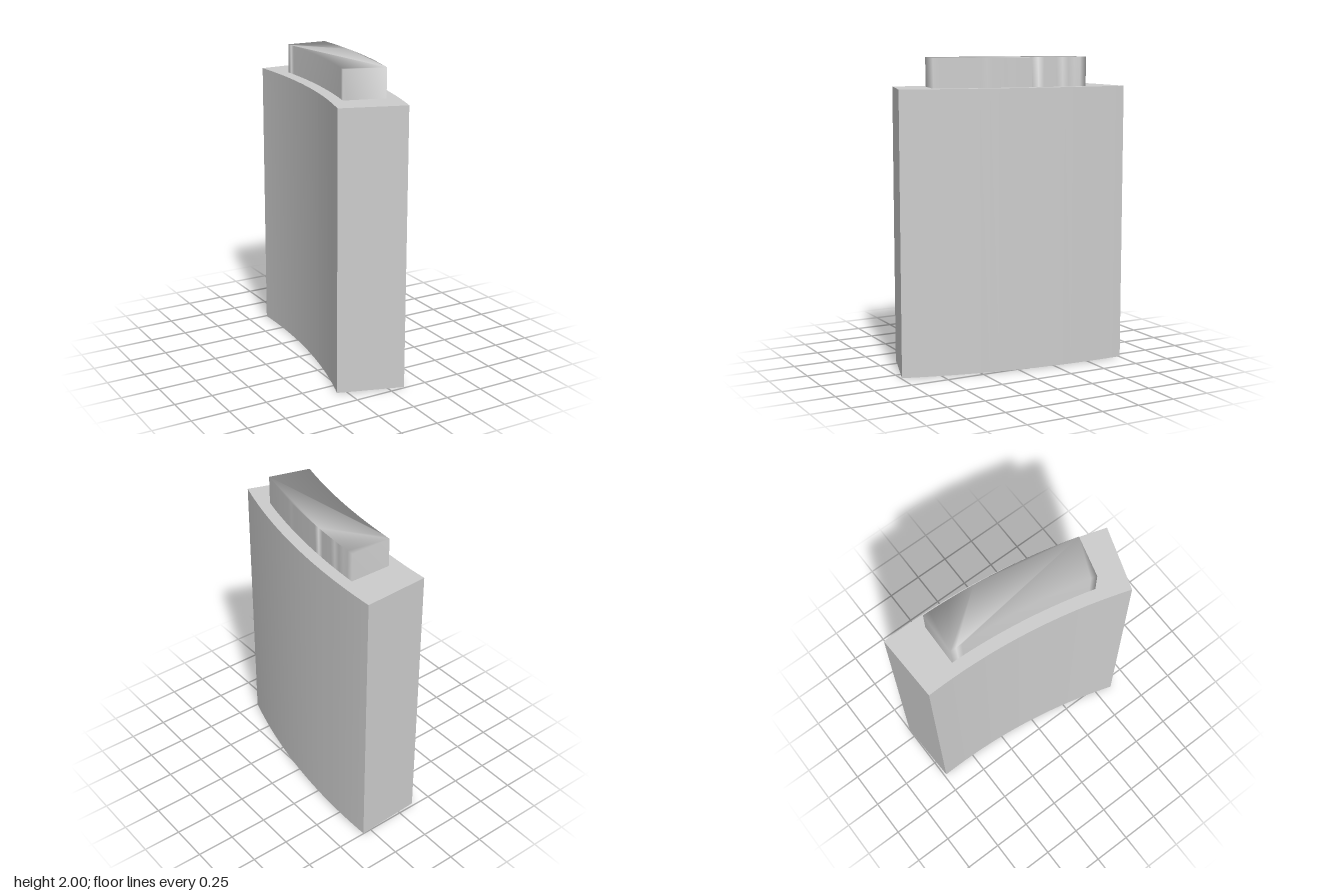
import * as THREE from 'three';
import { mergeVertices } from 'three/addons/utils/BufferGeometryUtils.js';

// Shared centre of all the arcs, in plan (x, z)
const CENTRE = { x: -3.957, z: -0.601 };

// Upright prism over a ring sector: radii, angles in degrees (turning from +x to +z), heights
function arcPrism(rIn, rOut, fromDeg, toDeg, y0, y1, steps) {
  const points = [];
  const add = (r, t) => {
    const a = THREE.MathUtils.degToRad(THREE.MathUtils.lerp(fromDeg, toDeg, t));
    points.push(new THREE.Vector2(CENTRE.x + r * Math.cos(a), -(CENTRE.z + r * Math.sin(a))));
  };
  for (let i = 0; i <= steps; i++) add(rOut, i / steps);
  for (let i = steps; i >= 0; i--) add(rIn, i / steps);
  const geometry = new THREE.ExtrudeGeometry(new THREE.Shape(points), {
    depth: y1 - y0, bevelEnabled: false, steps: 1,
  });
  geometry.rotateX(-Math.PI / 2);
  geometry.translate(0, y0, 0);
  return geometry;
}

// Share vertices so that shading runs smoothly over every edge
function smoothed(geometry) {
  geometry.deleteAttribute('normal');
  geometry.deleteAttribute('uv');
  const merged = mergeVertices(geometry, 1e-4);
  merged.clearGroups();
  merged.computeVertexNormals();
  return merged;
}

export function createModel() {
  const model = new THREE.Group();
  model.name = 'curvedBlock';

  const grey = new THREE.MeshStandardMaterial({ color: 0xcccccc });
  grey.name = 'light grey';

  // Curved outer block
  const body = new THREE.Mesh(arcPrism(3.84, 4.27, -2, 18.4, 0.004, 1.812, 24), grey);
  body.name = 'body';

  // Smooth core that rises above the block and runs through to its underside
  const core = new THREE.Mesh(smoothed(arcPrism(3.92, 4.193, 1.3, 15.4, 0, 2, 24)), grey);
  core.name = 'core';

  model.add(body, core);
  return model;
}
